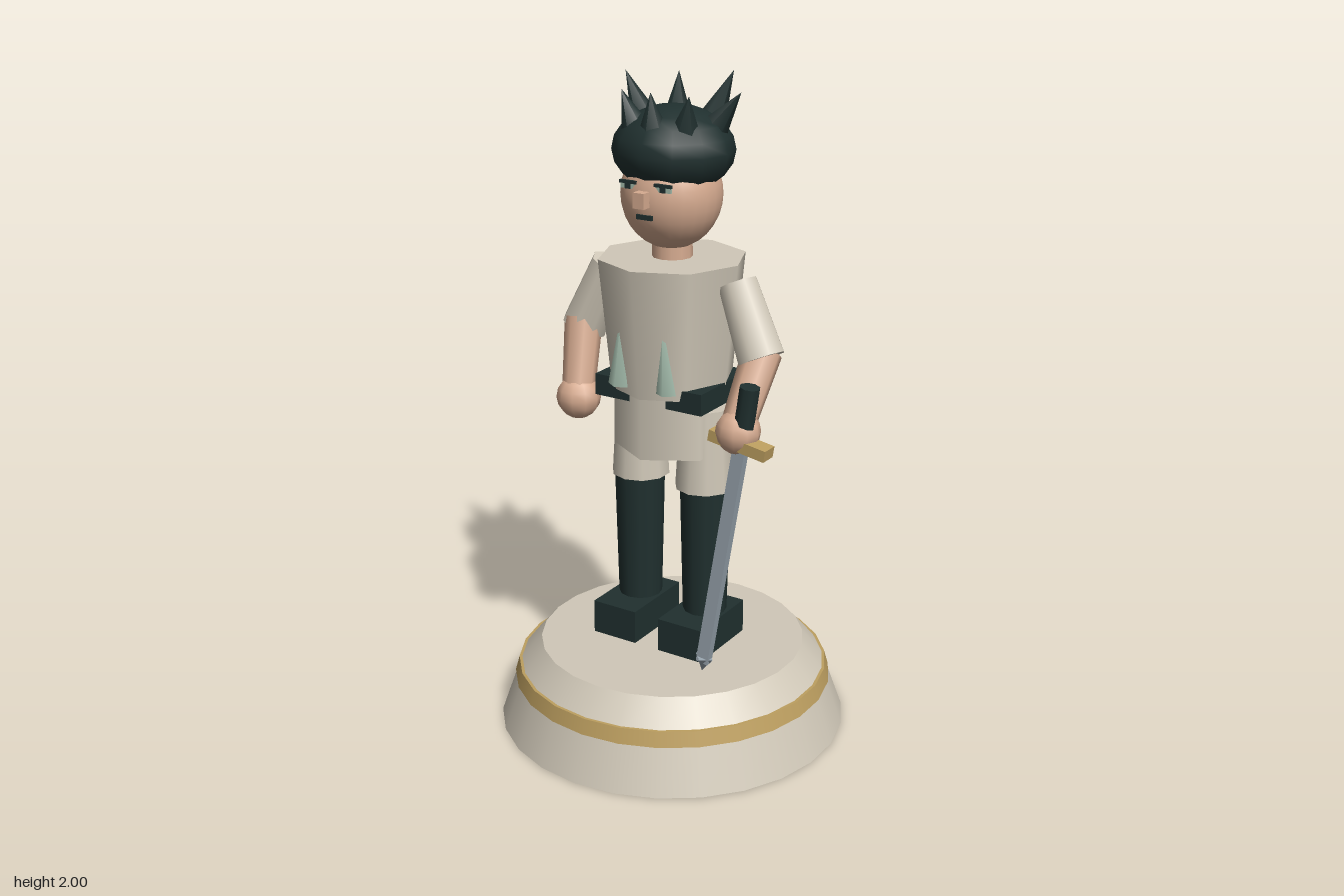
import * as THREE from 'three';

const mat = (name, color) => {
  const m = new THREE.MeshStandardMaterial({ color });
  m.name = name;
  return m;
};

export function createModel() {
  const stone = mat('stone', 0xd0c8b8);
  const skin = mat('skin', 0xd6ab90);
  const dark = mat('dark', 0x20302f);
  const gold = mat('gold', 0xbd9f60);
  const steel = mat('steel', 0x98a4ae);
  const green = mat('pale green', 0xa3bbab);

  const group = new THREE.Group();
  const add = (name, geometry, material, x = 0, y = 0, z = 0) => {
    const m = new THREE.Mesh(geometry, material);
    m.name = name;
    m.position.set(x, y, z);
    group.add(m);
    return m;
  };
  const box = (name, size, material, x, y, z) =>
    add(name, new THREE.BoxGeometry(...size), material, x, y, z);
  // upright tapered cylinder from y0 to y1
  const drum = (name, r0, r1, y0, y1, sides, material, x = 0, z = 0) =>
    add(name, new THREE.CylinderGeometry(r1, r0, y1 - y0, sides), material, x, (y0 + y1) / 2, z);
  // tapered cylinder running from point a to point b
  const limb = (name, a, b, ra, rb, sides, material) => {
    const p = new THREE.Vector3(...a), q = new THREE.Vector3(...b);
    const d = q.clone().sub(p);
    const m = add(name, new THREE.CylinderGeometry(rb, ra, d.length(), sides), material);
    m.position.copy(p).lerp(q, 0.5);
    m.quaternion.setFromUnitVectors(new THREE.Vector3(0, 1, 0), d.normalize());
    return m;
  };
  const ball = (name, r, material, x, y, z, w = 24, h = 16) => {
    const m = add(name, new THREE.SphereGeometry(1, w, h), material, x, y, z);
    m.scale.set(...r);
    return m;
  };

  // Plinth
  drum('plinthBase', 0.54, 0.49, 0, 0.14, 26, stone);
  drum('plinthBand', 0.495, 0.482, 0.14, 0.186, 26, gold);
  drum('plinthTop', 0.473, 0.41, 0.186, 0.26, 26, stone);

  // Legs
  for (const s of [-1, 1]) {
    box('foot', [0.152, 0.105, 0.254], dark, s * 0.118, 0.328, 0.021);
    drum('boot', 0.067, 0.077, 0.36, 0.79, 12, dark, s * 0.118);
    drum('shortsLeg', 0.09, 0.074, 0.785, 1.04, 10, stone, s * 0.114);
  }

  // Torso, belt and skirt
  drum('skirt', 0.175, 0.172, 0.9, 1.11, 6, stone);
  box('belt', [0.368, 0.065, 0.272], dark, 0, 1.092, 0);
  drum('tunic', 0.182, 0.22, 1.09, 1.48, 8, stone);
  for (const s of [-1, 1]) {
    const lapel = add('lapel', new THREE.ConeGeometry(0.034, 0.215, 4), green, s * 0.077, 1.222, 0.165);
    lapel.scale.z = 0.6;
    lapel.rotation.z = s * 0.06;
  }

  // Arms
  limb('rightSleeve', [-0.215, 1.43, 0], [-0.312, 1.222, 0.005], 0.06, 0.072, 8, stone);
  limb('rightForearm', [-0.305, 1.25, 0.02], [-0.283, 1.04, 0.085], 0.058, 0.05, 8, skin);
  ball('rightHand', [0.068, 0.068, 0.068], skin, -0.283, 1.02, 0.085, 10, 8);
  limb('leftSleeve', [0.22, 1.43, 0], [0.322, 1.23, 0.035], 0.06, 0.072, 8, stone);
  limb('leftForearm', [0.32, 1.25, 0.025], [0.312, 1.07, 0.14], 0.058, 0.05, 8, skin);
  ball('leftHand', [0.066, 0.066, 0.066], skin, 0.315, 1.045, 0.15, 10, 8);

  // Sword
  limb('swordGrip', [0.336, 1.02, 0.165], [0.36, 1.19, 0.165], 0.03, 0.03, 8, dark);
  box('swordGuard', [0.185, 0.034, 0.054], gold, 0.333, 1.018, 0.165).rotation.z = -0.165;
  const blade = box('swordBlade', [0.04, 0.72, 0.026], steel, 0.275, 0.65, 0.165);
  blade.rotation.z = -0.165;
  const tip = add('swordTip', new THREE.ConeGeometry(0.03, 0.05, 4), steel, 0.214, 0.287, 0.165);
  tip.rotation.z = Math.PI - 0.165;

  // Head
  drum('neck', 0.06, 0.058, 1.46, 1.56, 12, skin);
  ball('head', [0.148, 0.16, 0.148], skin, 0, 1.665, 0.003);
  ball('hair', [0.18, 0.128, 0.174], dark, 0, 1.79, -0.007, 12, 10);
  box('nose', [0.036, 0.045, 0.045], skin, 0, 1.673, 0.155);
  box('mouth', [0.052, 0.014, 0.009], dark, 0, 1.621, 0.146);
  for (const s of [-1, 1]) {
    box('eye', [0.05, 0.016, 0.009], green, s * 0.058, 1.704, 0.136);
    box('pupil', [0.018, 0.016, 0.006], dark, s * 0.058, 1.704, 0.141);
    box('brow', [0.056, 0.009, 0.009], dark, s * 0.058, 1.715, 0.139);
  }

  // Hair spikes, one per tip position
  const tips = [
    [0, 1.965, 0.112], [0.11, 1.96, 0.088], [-0.105, 1.965, 0.1], [0.195, 1.96, -0.05],
    [-0.195, 1.992, -0.055], [0.1, 2.0, -0.17], [-0.085, 1.985, -0.17],
  ];
  for (const [x, y, z] of tips) {
    const k = 0.105 / Math.hypot(x, z + 0.01);
    limb('hairSpike', [x * k, 1.835, (z + 0.01) * k - 0.01], [x, y, z], 0.05, 0, 6, dark);
  }

  return group;
}
